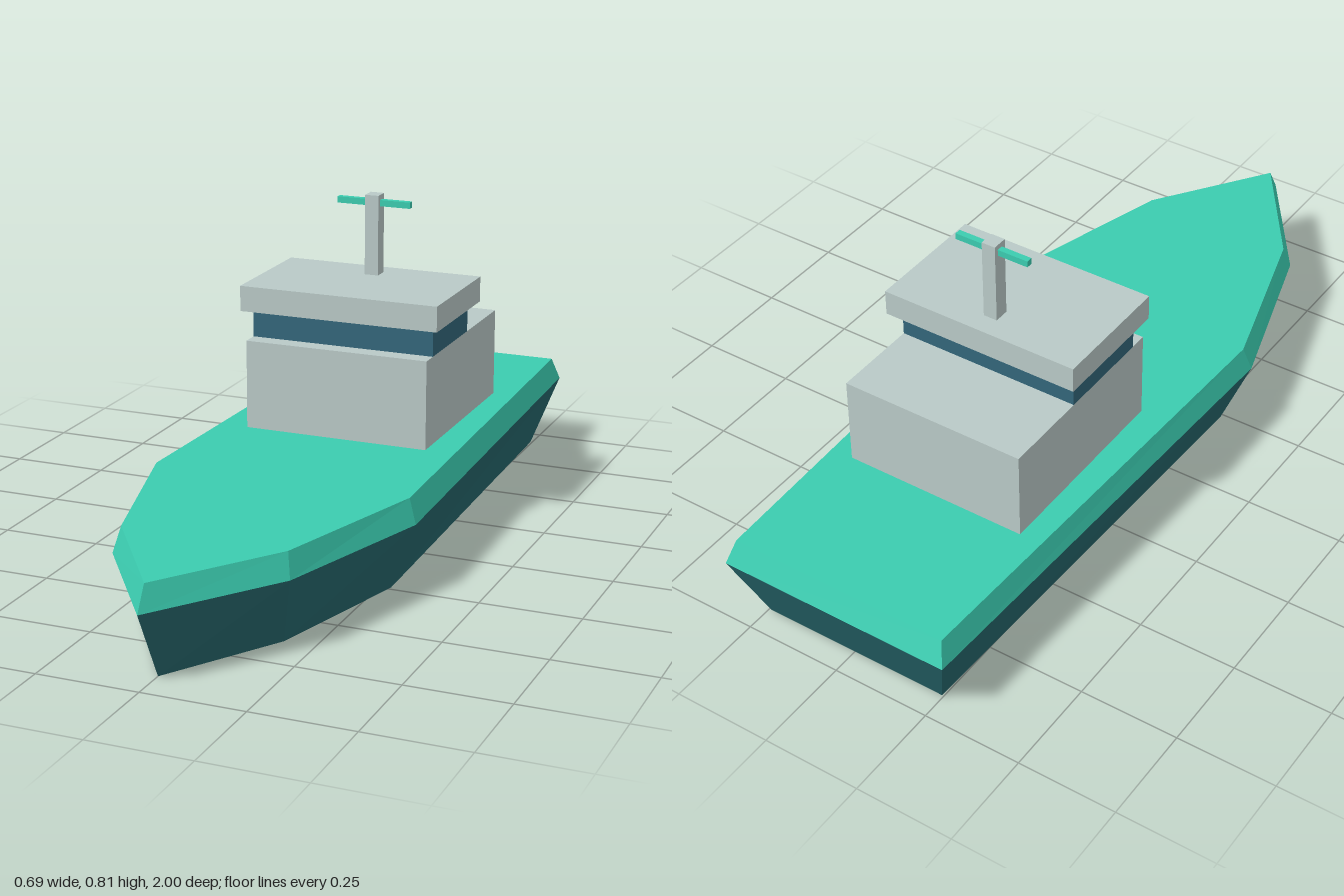
import * as THREE from 'three';

const makeMaterial = (name, color) => {
  const m = new THREE.MeshStandardMaterial({ color });
  m.name = name;
  return m;
};

// Full outline from bow round to port stern and back, from half-outline [x, z] points
function outline(half, y) {
  const side = half.map(([x, z]) => [x, y, z]);
  const mirrored = half.slice(1).reverse().map(([x, z]) => [-x, y, z]);
  return [...side, ...mirrored];
}

// Faceted wall between two outlines, with optional flat caps
function loft(lower, upper, capBottom, capTop) {
  const pos = [];
  const n = lower.length;
  const tri = (a, b, c) => pos.push(...a, ...b, ...c);
  for (let i = 0; i < n; i++) {
    const j = (i + 1) % n;
    tri(lower[i], lower[j], upper[j]);
    tri(lower[i], upper[j], upper[i]);
  }
  for (let i = 1; i < n - 1; i++) {
    if (capTop) tri(upper[0], upper[i], upper[i + 1]);
    if (capBottom) tri(lower[0], lower[i + 1], lower[i]);
  }
  const g = new THREE.BufferGeometry();
  g.setAttribute('position', new THREE.Float32BufferAttribute(pos, 3));
  g.computeVertexNormals();
  return g;
}

export function createModel() {
  const group = new THREE.Group();
  group.name = 'boat';
  const teal = makeMaterial('teal deck', 0x3bccb0);
  const dark = makeMaterial('dark teal hull', 0x27686d);
  const grey = makeMaterial('pale grey', 0xb9c9c7);
  const glass = makeMaterial('blue glass', 0x33667a);

  const add = (name, geometry, material) => {
    const mesh = new THREE.Mesh(geometry, material);
    mesh.name = name;
    group.add(mesh);
  };
  // Box spanning the given y and z ranges, centred on x
  const box = (name, halfX, y0, y1, z0, z1, material) => {
    const g = new THREE.BoxGeometry(halfX * 2, y1 - y0, z1 - z0);
    g.translate(0, (y0 + y1) / 2, (z0 + z1) / 2);
    add(name, g, material);
  };

  // Hull outlines at keel, widest line and deck
  const keel = outline([[0, 0.91], [0.174, 0.63], [0.278, 0.24], [0.245, -0.93]], 0);
  const rail = outline([[0, 1], [0.217, 0.695], [0.347, 0.263], [0.303, -1]], 0.175);
  const deck = outline([[0, 0.965], [0.204, 0.675], [0.327, 0.252], [0.286, -0.975]], 0.235);
  add('lowerHull', loft(keel, rail, true, false), dark);
  add('deck', loft(rail, deck, false, true), teal);

  // Superstructure
  box('cabin', 0.24, 0.235, 0.462, -0.607, -0.088, grey);
  box('windowBand', 0.24, 0.462, 0.534, -0.385, -0.132, glass);
  box('roof', 0.261, 0.534, 0.599, -0.419, -0.099, grey);

  // Mast and crossbar
  box('mast', 0.018, 0.599, 0.805, -0.367, -0.328, grey);
  box('crossbar', 0.098, 0.776, 0.792, -0.356, -0.34, teal);

  return group;
}
